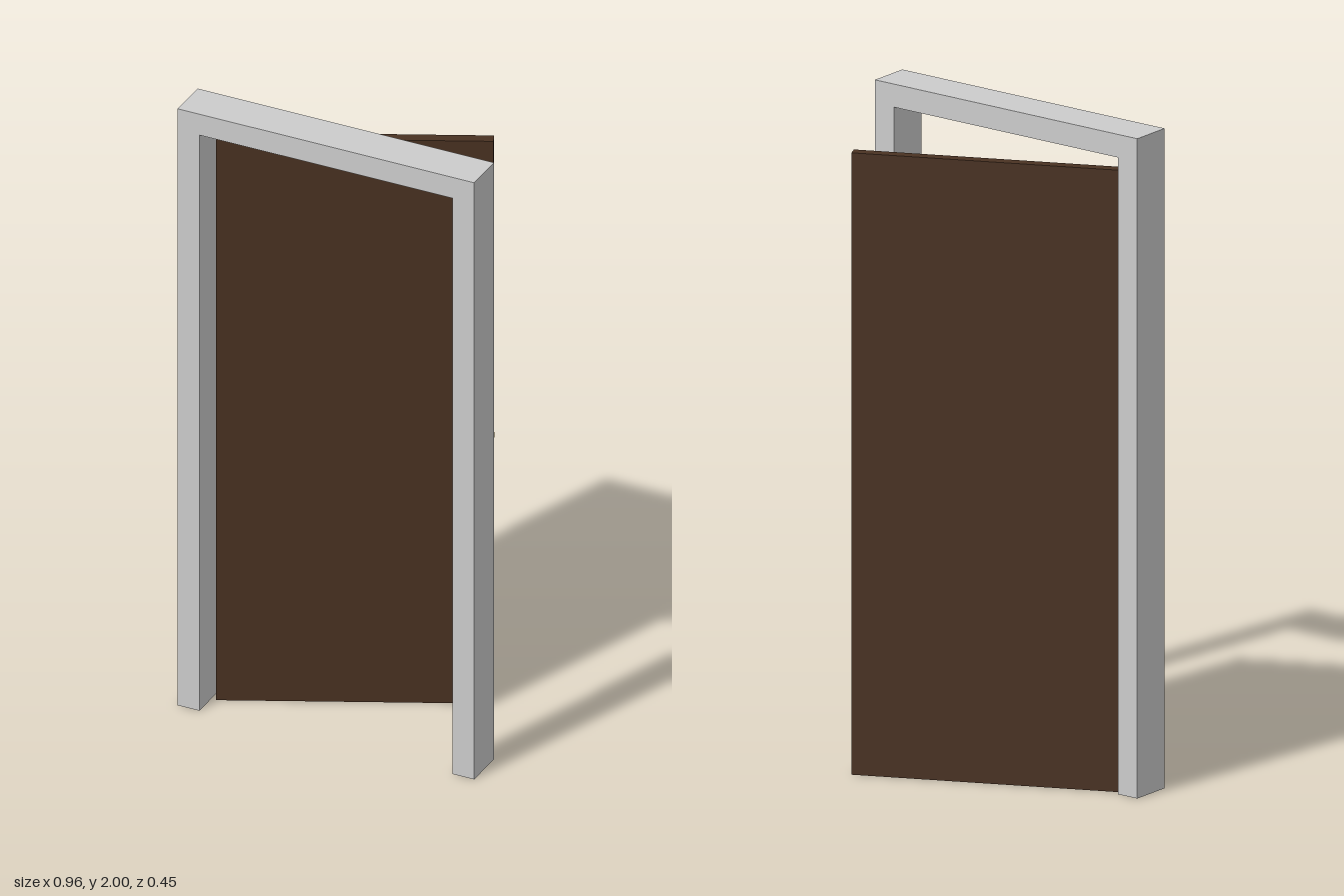
import * as THREE from 'three';

export function createModel() {
  const model = new THREE.Group();
  model.name = 'openDoor';
  const grey = new THREE.MeshStandardMaterial({ color: 0xcccccc });
  const wood = new THREE.MeshStandardMaterial({ color: 0x4a3222 });
  const brass = new THREE.MeshStandardMaterial({ color: 0xc9a332 });

  const add = (parent, name, geometry, material, x, y, z) => {
    const mesh = new THREE.Mesh(geometry, material);
    mesh.name = name;
    mesh.position.set(x, y, z);
    parent.add(mesh);
    return mesh;
  };

  // Door frame: one upside-down U, extruded through the wall depth
  const outer = 0.48, inner = 0.41, top = 2, head = 1.93;
  const outline = new THREE.Shape([
    [-outer, 0], [-inner, 0], [-inner, head], [inner, head],
    [inner, 0], [outer, 0], [outer, top], [-outer, top],
  ].map(([x, y]) => new THREE.Vector2(x, y)));
  add(model, 'doorFrame',
    new THREE.ExtrudeGeometry(outline, { depth: 0.13, bevelEnabled: false }),
    grey, 0, 0, 0.094);

  // Door leaf with its handle, swung open about the hinge edge
  const door = new THREE.Group();
  door.name = 'door';
  door.position.set(-0.401, 0, 0.132);
  door.rotation.y = THREE.MathUtils.degToRad(25);
  model.add(door);

  const width = 0.805, height = 1.885, thickness = 0.034;
  add(door, 'doorLeaf', new THREE.BoxGeometry(width, height, thickness),
    wood, width / 2, height / 2, 0);

  // Handle: round spindle standing off the front face, with a flat lever
  const handleY = 0.93;
  const spindle = add(door, 'handleSpindle',
    new THREE.CylinderGeometry(0.017, 0.017, 0.06, 24),
    brass, 0.718, handleY, thickness / 2 + 0.03);
  spindle.rotation.x = Math.PI / 2;
  add(door, 'handleLever', new THREE.BoxGeometry(0.108, 0.017, 0.017),
    brass, 0.754, handleY, 0.0735);

  return model;
}
